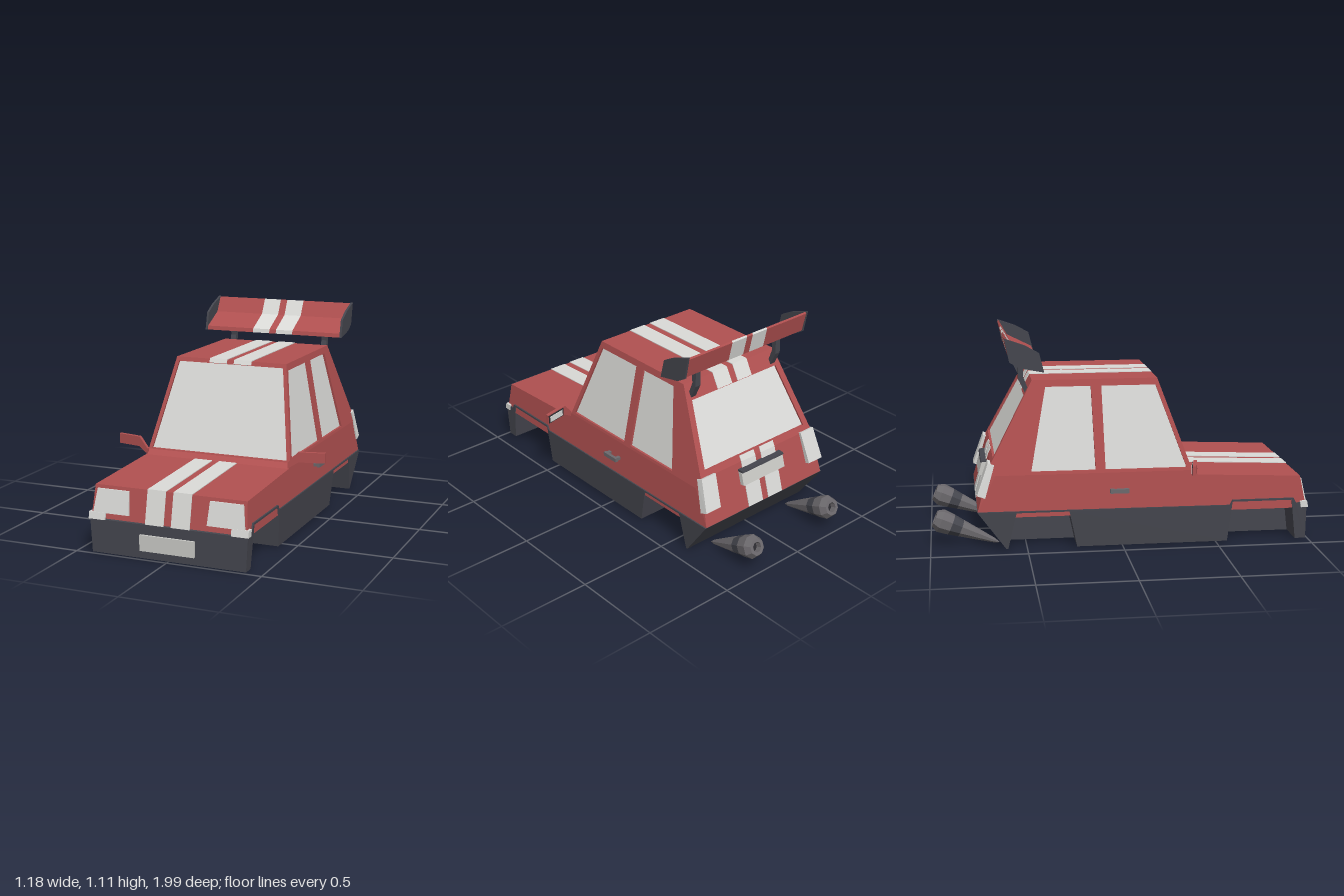
import * as THREE from 'three';

const mat = (name, color) => {
  const m = new THREE.MeshStandardMaterial({ color });
  m.name = name;
  return m;
};

export function createModel() {
  const car = new THREE.Group();
  car.name = 'car';
  const red = mat('red paint', 0xb05050);
  const white = mat('white paint', 0xdadad7);
  const plate = mat('pale plate', 0xc9c9c5);
  const dark = mat('dark trim', 0x45464e);
  const grey = mat('grey metal', 0x6c696d);
  const black = mat('black', 0x2c2b30);

  // Body rules: half width, windscreen, rear and nose planes by height
  const half = y => (y < 0.4 ? 0.418 - (y - 0.21) * 0.063 : 0.406 - (y - 0.4) * 0.19);
  const zFront = y => 0.37 - (y - 0.4) * 0.365;
  const zRear = y => (y > 0.456 ? -0.686 + (y - 0.456) * 0.531 : -0.686 - (0.456 - y) * 0.285);
  const zNose = y => 0.985 - (y - 0.18) * 0.2;

  // Flat-shaded mesh with its faces turned outward
  function add(name, geometry, material) {
    const geo = geometry.index ? geometry.toNonIndexed() : geometry;
    const p = geo.attributes.position;
    const a = new THREE.Vector3(), b = new THREE.Vector3(), c = new THREE.Vector3();
    let volume = 0;
    for (let i = 0; i < p.count; i += 3) {
      a.fromBufferAttribute(p, i);
      b.fromBufferAttribute(p, i + 1);
      c.fromBufferAttribute(p, i + 2);
      volume += a.dot(b.clone().cross(c));
    }
    if (volume < 0) {
      for (let i = 0; i < p.count; i += 3) {
        b.fromBufferAttribute(p, i + 1);
        c.fromBufferAttribute(p, i + 2);
        p.setXYZ(i + 1, c.x, c.y, c.z);
        p.setXYZ(i + 2, b.x, b.y, b.z);
      }
    }
    geo.computeVertexNormals();
    const mesh = new THREE.Mesh(geo, material);
    mesh.name = name;
    car.add(mesh);
  }

  // Extruded outline whose points (u, v, depth) are placed by a rule
  function slab(name, outline, depth, rule, material, holes = []) {
    const shape = new THREE.Shape(outline.map(q => new THREE.Vector2(...q)));
    holes.forEach(h => shape.holes.push(new THREE.Path(h.map(q => new THREE.Vector2(...q)))));
    const geo = new THREE.ExtrudeGeometry(shape, { depth, bevelEnabled: false });
    const p = geo.attributes.position;
    for (let i = 0; i < p.count; i++) p.setXYZ(i, ...rule(p.getX(i), p.getY(i), p.getZ(i)));
    add(name, geo, material);
  }
  // Side profile (z, y) swept across x from x0 to x1, times an optional width rule
  const prism = (name, profile, x0, x1, material, width = () => 1) =>
    slab(name, profile, x1 - x0, (u, v, d) => [(x0 + d) * width(v), v, u], material);
  const box = (name, w, h, d, x, y, z, material) =>
    add(name, new THREE.BoxGeometry(w, h, d).translate(x, y, z), material);

  // Lower body and roof
  prism('body', [[0.985, 0.18], [0.951, 0.352], [0.4, 0.375], [0.37, 0.4], [-0.66, 0.4],
    [-0.686, 0.456], [-0.755, 0.213], [-0.7, 0.18]], -1, 1, red, half);
  prism('roof', [[zFront(0.86), 0.86], [zFront(0.88), 0.88], [zRear(0.88), 0.88], [zRear(0.86), 0.86]],
    -1, 1, red, half);

  // Chassis: full-depth core, outer blocks with open wheel wells
  const top = [[0.987, 0.01], [0.987, 0.183], [0.97, 0.208], [0.93, 0.208], [0.915, 0.235],
    [0.585, 0.235], [0.57, 0.208], [-0.757, 0.213], [-0.61, 0.01]];
  const wells = [[-0.6, 0.01], [-0.555, 0.203], [-0.28, 0.203], [-0.24, 0.01],
    [0.56, 0.01], [0.585, 0.225], [0.905, 0.225], [0.93, 0.01]];
  prism('chassisCore', top, -0.25, 0.25, dark);
  const sill = y => (y < 0.05 ? 0.415 / 0.425 : 1);
  for (const s of [-1, 1]) {
    prism('chassisSide', [...top, ...wells], 0.25, 0.425, dark, y => s * sill(y));
  }

  // Front and rear window frames with recessed glass
  function windowWall(name, y0, yA, yB, xA, xB, plane, inward) {
    const hole = [[-xA, yA], [xA, yA], [xB, yB], [-xB, yB]];
    const wall = [[-half(y0), y0], [half(y0), y0], [half(0.88), 0.88], [-half(0.88), 0.88]];
    slab(name + 'Frame', wall, 0.02, (u, v, d) => [u, v, plane(v) + inward * d], red, [hole]);
    slab(name + 'Glass', hole, 0.008, (u, v, d) => [u, v, plane(v) + inward * (d + 0.012)], white);
  }
  windowWall('windscreen', 0.4, 0.406, 0.858, 0.385, 0.303, zFront, -1);
  windowWall('rearWindow', 0.456, 0.485, 0.8, 0.355, 0.295, zRear, 1);

  // Cabin sides with two windows each
  const sideWall = [[zFront(0.4), 0.4], [zFront(0.88), 0.88], [zRear(0.88), 0.88],
    [zRear(0.456), 0.456], [zRear(0.4), 0.4]];
  const sideWindows = [
    [[0.34, 0.415], [0.185, 0.845], [-0.1, 0.845], [-0.088, 0.415]],
    [[-0.14, 0.415], [-0.155, 0.845], [-0.392, 0.845], [-0.475, 0.415]],
  ];
  for (const s of [-1, 1]) {
    slab('cabinSide', sideWall, 0.02, (u, v, d) => [s * (half(v) - d), v, u], red, sideWindows);
    sideWindows.forEach(w =>
      slab('sideGlass', w, 0.008, (u, v, d) => [s * (half(v) - 0.012 - d), v, u], white));
  }

  // Twin stripes: thin ribbons following the body from nose to tail
  function ribbon(path, t = 0.004) {
    const outer = path.map((q, i) => {
      const a = path[Math.max(i - 1, 0)], b = path[Math.min(i + 1, path.length - 1)];
      const dz = b[0] - a[0], dy = b[1] - a[1], l = Math.hypot(dz, dy);
      return [q[0] + (dy / l) * t, q[1] - (dz / l) * t];
    });
    return [...outer, ...path.slice().reverse()];
  }
  const stripePaths = [
    [[0.985, 0.184], [0.951, 0.352], [0.4, 0.375]],
    [[zFront(0.86), 0.86], [zFront(0.88), 0.88], [zRear(0.88), 0.88], [zRear(0.802), 0.802]],
    [[zRear(0.483), 0.483], [zRear(0.456), 0.456], [zRear(0.215), 0.215]],
  ];
  for (const path of stripePaths) {
    for (const x of [-0.12, 0.02]) prism('stripe', ribbon(path), x, x + 0.1, white);
  }

  // Rear wing: bent blade in coloured sections, end plates, curved posts
  const blade = [[-0.41, 0.936], [-0.415, 0.958], [-0.55, 1.025], [-0.597, 1.108],
    [-0.603, 1.1], [-0.578, 0.995], [-0.53, 0.965]];
  const cuts = [-0.405, -0.12, -0.02, 0.02, 0.12, 0.405];
  for (let i = 0; i < 5; i++) prism('wingBlade', blade, cuts[i], cuts[i + 1], i % 2 ? white : red);
  const endPlate = [[-0.403, 0.935], [-0.428, 1.035], [-0.5, 1.075], [-0.605, 1.112],
    [-0.58, 0.99], [-0.53, 0.96]];
  const post = [[-0.5, 0.975], [-0.505, 0.9], [-0.475, 0.82], [-0.495, 0.81], [-0.53, 0.885], [-0.53, 0.975]];
  for (const s of [-1, 1]) {
    prism('wingEndPlate', endPlate, s * 0.41 - 0.006, s * 0.41 + 0.006, dark);
    prism('wingPost', post, s * 0.28 - 0.016, s * 0.28 + 0.016, dark);
  }

  // Lights, mirrors, handles and exhausts on both sides
  for (const s of [-1, 1]) {
    slab('headlight', [[0.21, 0.217], [0.218, 0.335], [0.392, 0.335], [0.408, 0.217]], 0.009,
      (u, v, d) => [s * u, v, zNose(v) + d], white);
    prism('turnSignal', [[0.995, 0.183], [0.988, 0.218], [0.95, 0.218], [0.955, 0.183]],
      0.34, 0.43, white, () => s);
    prism('tailLight', [[-0.665, 0.455], [-0.698, 0.467], [-0.757, 0.3], [-0.715, 0.285]],
      0.78, 1.02, white, y => s * half(y));

    const mirrorZ = x => 0.375 - (x - 0.41) * 0.22;
    slab('mirror', [[0.4, 0.375], [0.4, 0.405], [0.452, 0.464], [0.588, 0.464], [0.588, 0.411], [0.455, 0.411]],
      0.02, (u, v, d) => [s * u, v, mirrorZ(u) + d], red);
    slab('mirrorRim', [[0.468, 0.415], [0.584, 0.415], [0.584, 0.46], [0.468, 0.46]],
      0.004, (u, v, d) => [s * u, v, mirrorZ(u) - d], black);
    slab('mirrorGlass', [[0.478, 0.421], [0.576, 0.421], [0.576, 0.454], [0.478, 0.454]],
      0.007, (u, v, d) => [s * u, v, mirrorZ(u) - d], white);

    box('doorHandle', 0.016, 0.022, 0.1, s * 0.441, 0.308, -0.018, grey);
    for (const z of [0.02, -0.055]) box('handleMount', 0.03, 0.016, 0.02, s * 0.423, 0.308, z, grey);

    const pipe = (name, profile, material) => {
      const geo = new THREE.LatheGeometry(profile.map(q => new THREE.Vector2(...q)), 8, Math.PI / 8);
      add(name, geo.rotateX(-Math.PI / 2 + 0.4).translate(s * 0.275, 0.018, -0.665), material);
    };
    pipe('exhaustPipe', [[0, -0.03], [0.012, 0], [0.034, 0.12], [0.046, 0.19], [0, 0.19]], grey);
    pipe('exhaustBand', [[0, 0.19], [0.046, 0.19], [0.056, 0.245], [0, 0.245]], dark);
    pipe('exhaustTip', [[0, 0.245], [0.056, 0.245], [0.063, 0.305], [0.045, 0.338],
      [0.027, 0.338], [0.025, 0.3], [0, 0.3]], grey);
    pipe('exhaustBore', [[0, 0.3], [0.025, 0.3], [0.025, 0.306], [0, 0.306]], black);
  }

  // Number plates, left blank
  box('frontPlate', 0.295, 0.082, 0.013, 0, 0.091, 0.9925, plate);
  prism('rearPlate', [[-0.69, 0.415], [-0.722, 0.415], [-0.742, 0.345], [-0.71, 0.345]], -0.148, 0.148, plate);
  prism('rearPlateLamp', [[-0.69, 0.425], [-0.727, 0.425], [-0.73, 0.414], [-0.69, 0.414]], -0.148, 0.148, dark);

  return car;
}
